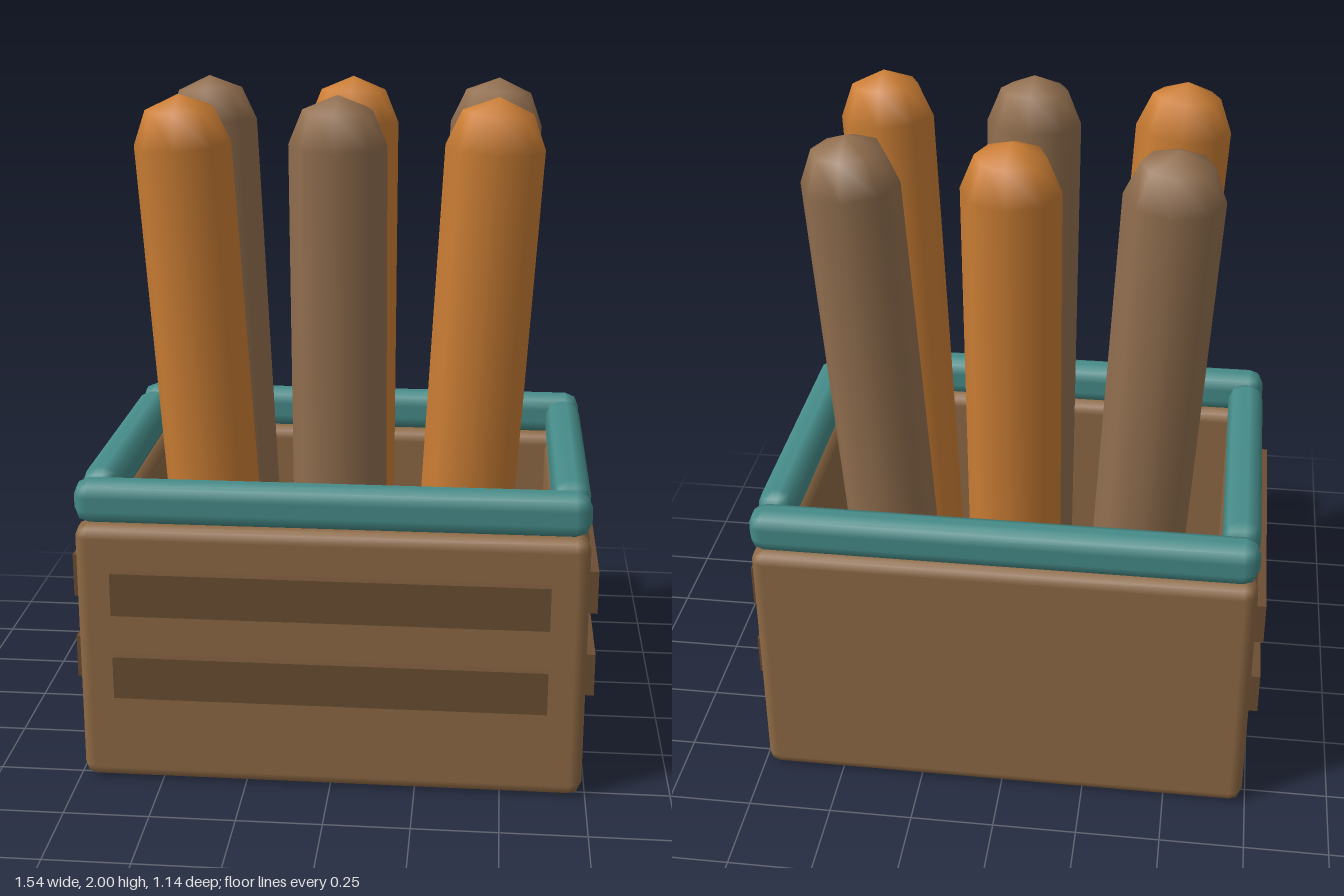
import * as THREE from 'three';
import { RoundedBoxGeometry } from 'three/addons/geometries/RoundedBoxGeometry.js';

const material = (name, color) => {
  const m = new THREE.MeshStandardMaterial({ color });
  m.name = name;
  return m;
};

export function createModel() {
  const wood = material('crate wood', 0x8f6a45);
  const darkWood = material('dark wood', 0x6b4e33);
  const teal = material('teal rim', 0x468c89);
  const golden = material('golden crust', 0xcd7f35);
  const brown = material('brown crust', 0x937050);

  const model = new THREE.Group();
  model.name = 'breadCrate';

  const add = (name, geometry, mat, x, y, z) => {
    const mesh = new THREE.Mesh(geometry, mat);
    mesh.name = name;
    mesh.position.set(x, y, z);
    model.add(mesh);
    return mesh;
  };

  const midZ = -0.015;      // centre of the crate body, front slats excluded
  const wall = 0.11;        // wall thickness
  const innerDepth = 0.89;

  add('floor', new THREE.BoxGeometry(1.26, 0.1, innerDepth), darkWood, 0, 0.06, midZ);

  // Walls, each topped by a rounded rim
  const layers = [
    ['Panel', wood, 0.8, 0.4, 0.038],
    ['Rim', teal, 0.13, 0.865, 0.045],
  ];
  for (const [part, mat, height, y, radius] of layers) {
    const long = new RoundedBoxGeometry(1.48, height, wall, 1, radius);
    const short = new RoundedBoxGeometry(wall, height, innerDepth, 1, radius);
    add('front' + part, long, mat, 0, y, 0.485);
    add('back' + part, long, mat, 0, y, -0.515);
    add('left' + part, short, mat, 0.685, y, midZ);
    add('right' + part, short, mat, -0.685, y, midZ);
  }

  // Two raised slats on the front and on both sides
  for (const y of [0.345, 0.605]) {
    add('frontSlat', new THREE.BoxGeometry(1.26, 0.13, 0.06), darkWood, 0, y, 0.54);
    for (const s of [1, -1]) {
      add('sideSlat', new THREE.BoxGeometry(0.06, 0.13, innerDepth), darkWood, s * 0.74, y, midZ);
    }
  }

  // Six loaves leaning outwards, with alternating crust colours
  const loaf = new THREE.CapsuleGeometry(0.14, 1.53, 2, 8, 1);
  const tilt = 0.055;
  for (const row of [1, -1]) {
    for (const column of [-1, 0, 1]) {
      const isGolden = (row === 1) === (column !== 0);
      const mesh = add('loaf', loaf, isGolden ? golden : brown,
        column * 0.4, 1.095, midZ + row * 0.222);
      mesh.rotation.set(row * tilt, 0, -column * tilt);
    }
  }

  return model;
}
